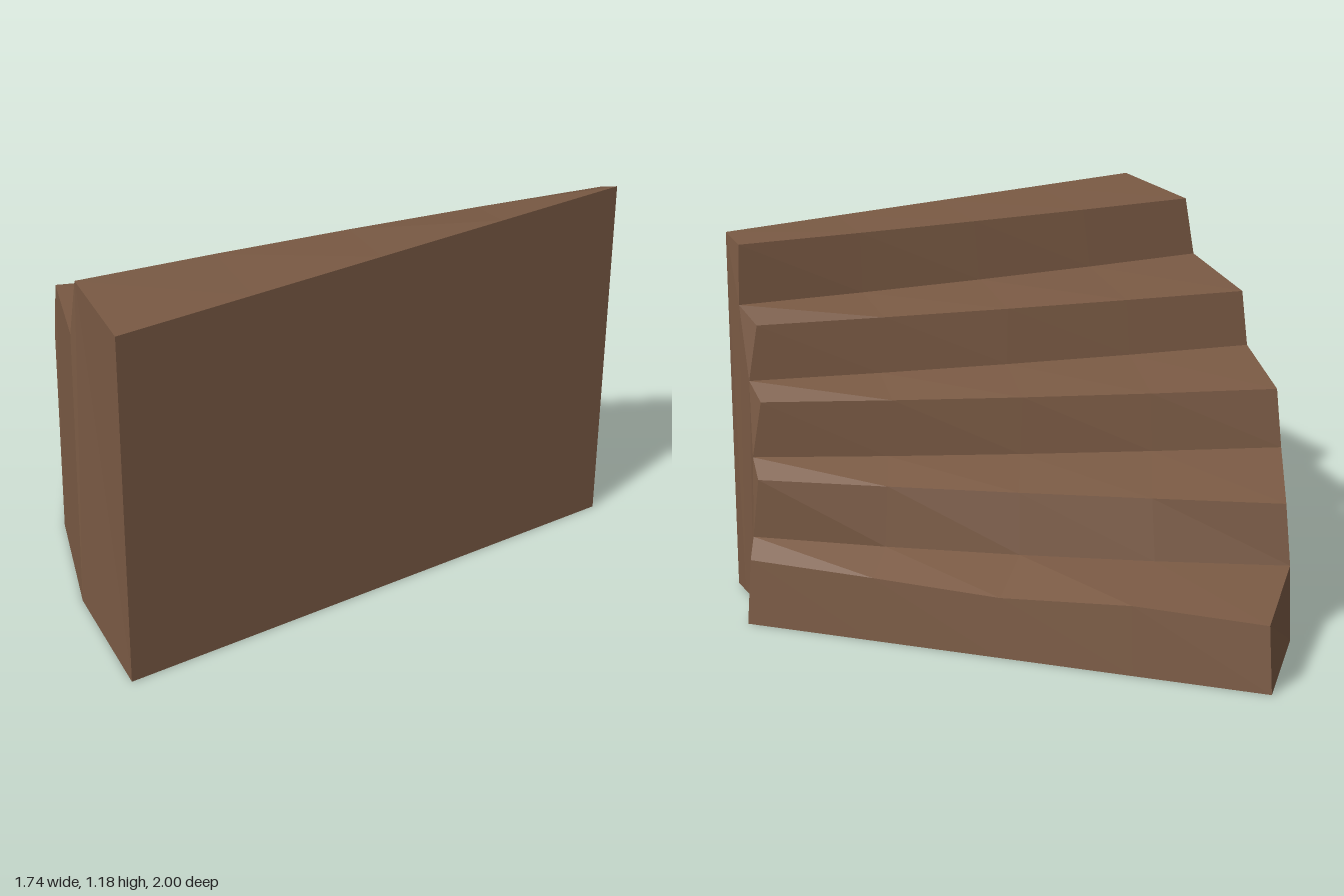
import * as THREE from 'three';

// Radial tread lines, back to front: a riser foot and a nosing for each step.
// [outer x, y, z,  inner x, y, z,  backward bow at the middle]
const LINES = [
  [-0.61, 0, -1, 0.855, 0, -0.19, 0],
  [-0.605, 0.205, -0.975, 0.84, 0.21, -0.185, 0],
  [-0.775, 0.245, -0.61, 0.825, 0.26, -0.11, 0.035],
  [-0.765, 0.435, -0.58, 0.805, 0.45, -0.12, 0.01],
  [-0.86, 0.495, -0.205, 0.815, 0.5, -0.04, 0.02],
  [-0.85, 0.68, -0.17, 0.785, 0.68, -0.045, 0.022],
  [-0.855, 0.73, 0.2, 0.815, 0.73, 0.03, 0.022],
  [-0.84, 0.91, 0.225, 0.785, 0.905, 0.045, 0.015],
  [-0.77, 0.96, 0.605, 0.835, 0.96, 0.1, 0.025],
  [-0.745, 1.15, 0.635, 0.83, 1.15, 0.115, 0.015],
  [-0.615, 1.18, 1, 0.865, 1.18, 0.175, 0],
];
// Footprint corners under each riser: [outer x, z, inner x, z]
const FLOOR = [
  [-0.61, -1, 0.855, -0.19], [-0.785, -0.61, 0.83, -0.11], [-0.87, -0.205, 0.82, -0.04],
  [-0.87, 0.2, 0.825, 0.03], [-0.79, 0.605, 0.845, 0.1], [-0.625, 1, 0.865, 0.175],
];
const SEGMENTS = 4;

// Flat-shaded mesh from convex polygons, each fanned from its first corner
function polygonMesh(name, polygons, material) {
  const pos = [];
  for (const p of polygons) {
    for (let k = 1; k < p.length - 1; k++) {
      pos.push(...p[0].toArray(), ...p[k].toArray(), ...p[k + 1].toArray());
    }
  }
  const geometry = new THREE.BufferGeometry();
  geometry.setAttribute('position', new THREE.Float32BufferAttribute(pos, 3));
  geometry.computeVertexNormals();
  const mesh = new THREE.Mesh(geometry, material);
  mesh.name = name;
  return mesh;
}

export function createModel() {
  const group = new THREE.Group();
  group.name = 'curvedStairs';
  const material = new THREE.MeshStandardMaterial({ color: 0x7a5a44, flatShading: true });

  // Points along each line, from the outer to the inner edge
  const rows = LINES.map(([ox, oy, oz, ix, iy, iz, bow]) => {
    const outer = new THREE.Vector3(ox, oy, oz), inner = new THREE.Vector3(ix, iy, iz);
    return Array.from({ length: SEGMENTS + 1 }, (_, j) => {
      const t = j / SEGMENTS;
      const p = outer.clone().lerp(inner, t);
      p.z -= bow * 4 * t * (1 - t);
      return p;
    });
  });
  // Slight wear on the lowest nosing
  rows[1][1].y += 0.008;
  rows[1][2].y -= 0.02;
  rows[1][3].y -= 0.008;

  const outerFloor = FLOOR.map(([x, z]) => new THREE.Vector3(x, 0, z));
  const innerFloor = FLOOR.map(([, , x, z]) => new THREE.Vector3(x, 0, z));

  // Risers and treads alternate between successive lines
  for (let i = 0; i < rows.length - 1; i++) {
    const quads = [];
    for (let j = 0; j < SEGMENTS; j++) {
      quads.push([rows[i][j], rows[i + 1][j], rows[i + 1][j + 1], rows[i][j + 1]]);
    }
    const kind = i % 2 ? 'tread' : 'riser';
    group.add(polygonMesh(kind + (Math.floor(i / 2) + 1), quads, material));
  }

  // Stepped side walls and the underside
  const outerWall = [], innerWall = [], underside = [];
  for (let s = 0; s < FLOOR.length - 1; s++) {
    const side = (floor, j) =>
      [rows[2 * s + 1][j], rows[2 * s][j], floor[s], floor[s + 1], rows[2 * s + 2][j]];
    outerWall.push(side(outerFloor, 0));
    innerWall.push(side(innerFloor, SEGMENTS).reverse());
    underside.push([outerFloor[s], innerFloor[s], innerFloor[s + 1], outerFloor[s + 1]]);
  }
  group.add(polygonMesh('outerWall', outerWall, material));
  group.add(polygonMesh('innerWall', innerWall, material));
  group.add(polygonMesh('underside', underside, material));

  // Tall end wall under the top step
  const top = rows[rows.length - 1];
  group.add(polygonMesh('endWall', [[outerFloor[5], innerFloor[5], top[SEGMENTS], top[0]]], material));
  return group;
}
